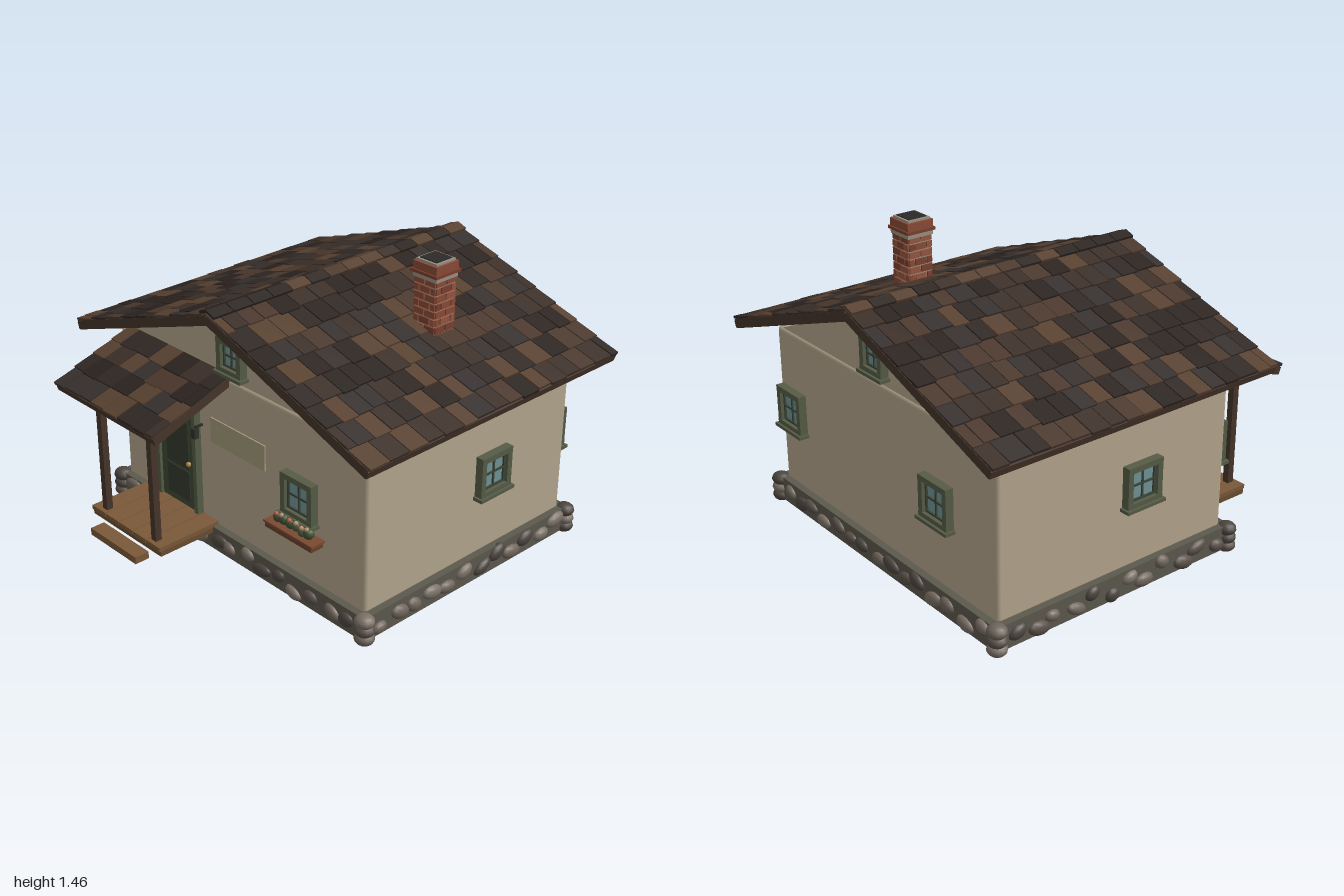
import * as THREE from 'three';
import { mergeGeometries } from 'three/addons/utils/BufferGeometryUtils.js';
import { RoundedBoxGeometry } from 'three/addons/geometries/RoundedBoxGeometry.js';

const ZC = -0.143; // middle of the house in z
const HW = 0.84, HD = 0.653; // half width and half depth of the walls
const SLOPE = Math.atan(0.35);
const SHINGLES = [0x3b2e27, 0x2f2723, 0x4a372c, 0x352f2d, 0x57402f, 0x2a221e];
const STONES = [0x6e645a, 0x5a5048, 0x7a7066, 0x4c453f];
const BRICKS = [0x8a4a35, 0x7a3f2e, 0x955540];
const FRAME = 0x555c46, WOOD = 0x7a5838, DARKWOOD = 0x46352a, WALL = 0xb3a58c;

let seed = 7;
const rnd = (a = 0, b = 1) => {
  seed = (seed * 16807) % 2147483647;
  return a + (b - a) * seed / 2147483647;
};
const pick = list => list[Math.floor(rnd() * list.length)];

const mats = {};
const mat = c => (mats[c] ??= new THREE.MeshStandardMaterial({ color: c }));

function add(parent, name, geo, color, x = 0, y = 0, z = 0) {
  const m = new THREE.Mesh(geo, mat(color));
  m.name = name;
  m.position.set(x, y, z);
  parent.add(m);
  return m;
}
const box = (parent, name, w, h, d, color, x, y, z) =>
  add(parent, name, new THREE.BoxGeometry(w, h, d), color, x, y, z);

function group(parent, name, x = 0, y = 0, z = 0, ry = 0) {
  const g = new THREE.Group();
  g.name = name;
  g.position.set(x, y, z);
  g.rotation.y = ry;
  parent.add(g);
  return g;
}

// Collects many small pieces and merges them into one mesh per colour
function batch(parent, name) {
  const byColor = {};
  return {
    put(geo, color, x, y, z, rz = 0) {
      (byColor[color] ??= []).push(geo.rotateZ(rz).translate(x, y, z));
    },
    done() {
      for (const c in byColor) add(parent, name, mergeGeometries(byColor[c]), +c);
    },
  };
}

// Roof plane: runs down along local +x, its width lies along z
function roofPlane(parent, name, length, width, courses, columns) {
  const g = group(parent, name);
  g.rotation.z = -SLOPE;
  box(g, 'roofDeck', length, 0.025, width - 0.02, 0x2e251f, length / 2, -0.014, 0);
  for (const s of [-1, 1])
    box(g, 'bargeBoard', length, 0.045, 0.014, DARKWOOD, length / 2, -0.012, s * (width / 2 - 0.007));
  box(g, 'eaveBoard', 0.014, 0.035, width, DARKWOOD, length, -0.014, 0);
  const b = batch(g, 'shingles'), pitch = length / courses, step = width / columns;
  for (let i = 0; i < courses; i++) {
    let z = -width / 2;
    for (let first = true; z < width / 2 - 0.001; first = false) {
      let w = first && i % 2 ? step / 2 : step * rnd(0.8, 1.2);
      if (width / 2 - z - w < step * 0.4) w = width / 2 - z;
      const l = pitch * 1.15, x = (i + 1) * pitch - l / 2 + rnd(0.002, 0.016);
      b.put(new THREE.BoxGeometry(l, 0.013, w - 0.005), pick(SHINGLES), x, 0.011 + rnd(0, 0.003), z + w / 2, 0.06);
      z += w;
    }
  }
  b.done();
}

// Window facing +z, centred on its own origin on the wall face
function makeWindow(parent, name, x, y, z, ry, w = 0.2, h = 0.205) {
  const g = group(parent, name, x, y, z, ry), t = 0.028;
  box(g, 'glass', w - t, h - t, 0.02, 0x6f9396, 0, 0, 0.004);
  for (const s of [-1, 1]) {
    box(g, 'frameSide', t, h, 0.05, FRAME, s * (w - t) / 2, 0, 0.015);
    box(g, 'frameRail', w, t, 0.052, FRAME, 0, s * (h - t) / 2, 0.015);
    box(g, 'sashSide', 0.01, h - 2 * t, 0.03, 0x3c4438, s * (w / 2 - t - 0.004), 0, 0.008);
    box(g, 'sashRail', w - 2 * t, 0.01, 0.03, 0x3c4438, 0, s * (h / 2 - t - 0.004), 0.008);
  }
  box(g, 'verticalBar', 0.009, h - t, 0.026, 0x3c4438, 0, 0, 0.008);
  box(g, 'crossBar', w - t, 0.009, 0.026, 0x3c4438, 0, 0, 0.008);
  box(g, 'sill', w + 0.022, 0.016, 0.066, FRAME, 0, -h / 2 - 0.002, 0.02);
}

function makeFoundation(root) {
  const g = group(root, 'foundation', 0, 0, ZC), X = HW + 0.035, Z = HD + 0.035;
  box(g, 'footing', 2 * X, 0.12, 2 * Z, 0x5c584d, 0, 0.08, 0);
  const b = batch(g, 'stones');
  const stone = (x, y, z, rx, ry, rz, tilt) =>
    b.put(new THREE.SphereGeometry(1, 12, 8).scale(rx, ry, rz).rotateZ(rx > rz ? tilt : 0).rotateX(rx > rz ? 0 : tilt),
      pick(STONES), x, y, z);
  for (const s of [-1, 1]) {
    for (const [half, along] of [[X, true], [Z, false]]) {
      const n = Math.round(2 * half / 0.108);
      for (let i = 1; i < n; i++) {
        const p = -half + 2 * half * i / n + rnd(-0.02, 0.02);
        const y = 0.08 + (i % 2 ? 1 : -1) * rnd(0, 0.03);
        const r = rnd(0.038, 0.062), ry = rnd(0.028, 0.036), tilt = rnd(-0.5, 0.5);
        if (along) stone(p, y, s * Z, r, ry, 0.026, tilt);
        else stone(s * X, y, p, 0.026, ry, r, tilt);
      }
    }
    // Piled corner stones
    for (const t of [-1, 1])
      for (const y of [0.034, 0.076, 0.12])
        stone(s * (X - 0.012), y, t * (Z - 0.012), 0.048, 0.033, 0.046, 0);
  }
  b.done();
}

function makeWalls(root) {
  add(root, 'walls', new RoundedBoxGeometry(2 * HW, 0.81, 2 * HD, 3, 0.02), WALL, 0, 0.53, ZC);
  const tri = new THREE.Shape([[-0.82, 0.925], [0.82, 0.925], [0, 1.268]].map(p => new THREE.Vector2(...p)));
  const depth = 2 * HD - 0.02;
  add(root, 'gable', new THREE.ExtrudeGeometry(tri, { depth, bevelEnabled: false }), WALL, 0, 0, ZC - depth / 2);
  // The same windows repeat on the opposite faces, turned half round
  for (const [turn, title] of [[0, 'front'], [Math.PI, 'back']]) {
    const g = group(root, title + 'Windows', 0, 0, ZC, turn);
    makeWindow(g, 'cornerWindow', -0.715, 0.545, HD, 0);
    makeWindow(g, 'mainWindow', 0.445, 0.545, HD, 0);
    makeWindow(g, 'atticWindow', 0, 1.062, HD - 0.01, 0, 0.163, 0.17);
    makeWindow(g, 'sideWindow', HW, 0.54, -0.13, Math.PI / 2);
  }
  box(root, 'plainBoard', 0.375, 0.128, 0.012, 0xa39a78, 0.02, 0.637, 0.511);
}

function makeRoof(root) {
  const g = group(root, 'mainRoof', 0, 1.29, ZC);
  for (const ry of [0, Math.PI]) roofPlane(group(g, 'roofHalf', 0, 0, 0, ry), 'roofPlane', 1.04, 1.59, 8, 16);
  // Ridge caps bent over both slopes
  const b = batch(g, 'ridgeCaps');
  for (let i = 0; i < 14; i++) {
    const c = pick(SHINGLES), z = -0.795 + 1.59 * (i + 0.5) / 14;
    for (const s of [-1, 1])
      b.put(new THREE.BoxGeometry(0.055, 0.012, 0.108), c, s * 0.023, 0.02, z, -s * SLOPE);
  }
  b.done();
}

function makeChimney(root) {
  const g = group(root, 'chimney', 0.475, 0, -0.26), b = batch(g, 'bricks'), W = 0.13;
  box(g, 'mortarCore', W - 0.008, 0.36, W - 0.008, 0x9a9082, 0, 1.22, 0);
  for (let row = 0; row < 9; row++) {
    const cuts = row % 2 ? [0, 0.25, 0.75, 1] : [0, 0.5, 1];
    for (let side = 0; side < 4; side++)
      for (let i = 1; i < cuts.length; i++) {
        const w = (cuts[i] - cuts[i - 1]) * W - 0.007, x = ((cuts[i] + cuts[i - 1]) / 2 - 0.5) * W;
        const brick = new THREE.BoxGeometry(w, 0.03, 0.02).translate(x, 0, W / 2 - 0.007).rotateY(side * Math.PI / 2);
        b.put(brick, pick(BRICKS), 0, 1.068 + row * 0.037, 0);
      }
  }
  b.done();
  box(g, 'mortarBand', 0.14, 0.025, 0.14, 0x9a9082, 0, 1.385, 0);
  box(g, 'lowerCap', 0.158, 0.014, 0.158, BRICKS[1], 0, 1.402, 0);
  box(g, 'upperCap', 0.142, 0.038, 0.142, BRICKS[0], 0, 1.428, 0);
  box(g, 'rim', 0.122, 0.014, 0.122, 0x9a9082, 0, 1.45, 0);
  box(g, 'flue', 0.1, 0.014, 0.1, 0x2c2a28, 0, 1.454, 0);
}

function makePorch(root) {
  const g = group(root, 'porch', -0.403, 0, 0);
  for (let i = 0; i < 5; i++)
    box(g, 'floorPlank', 0.102, 0.022, 0.355, WOOD, (i - 2) * 0.106, 0.145, 0.682);
  box(g, 'floorFrame', 0.525, 0.028, 0.345, 0x6a4c30, 0, 0.122, 0.68);
  box(g, 'step', 0.35, 0.036, 0.076, WOOD, 0, 0.08, 0.897);
  for (const s of [-1, 1]) {
    box(g, 'post', 0.034, 0.66, 0.034, DARKWOOD, s * 0.19, 0.48, 0.82);
    const brace = box(g, 'brace', 0.085, 0.014, 0.016, DARKWOOD, s * 0.155, 0.75, 0.82);
    brace.rotation.z = -s * 0.85;
  }
  box(g, 'beam', 0.6, 0.028, 0.034, DARKWOOD, 0, 0.797, 0.82);
  roofPlane(group(g, 'porchRoof', 0, 0.942, 0.495, -Math.PI / 2), 'porchRoofPlane', 0.46, 0.738, 4, 7);

  // Door with two panels, knob and lamp
  const d = group(g, 'door', 0, 0, 0.51);
  box(d, 'doorSlab', 0.26, 0.53, 0.03, 0x414836, 0, 0.42, 0.005);
  for (const s of [-1, 1]) box(d, 'jamb', 0.025, 0.545, 0.055, FRAME, s * 0.14, 0.428, 0.008);
  box(d, 'lintel', 0.305, 0.025, 0.057, FRAME, 0, 0.688, 0.008);
  box(d, 'upperPanel', 0.165, 0.25, 0.008, 0x343a2d, 0, 0.49, 0.02);
  box(d, 'lowerPanel', 0.165, 0.16, 0.008, 0x343a2d, 0, 0.27, 0.02);
  add(d, 'knob', new THREE.SphereGeometry(0.013, 12, 8), 0xa8843c, 0.095, 0.405, 0.035);
  box(d, 'lampArm', 0.01, 0.01, 0.045, 0x2a2a28, 0.168, 0.635, 0.02);
  box(d, 'lamp', 0.026, 0.05, 0.026, 0x2e302c, 0.168, 0.605, 0.045);
}

function makeFlowerBox(root) {
  const g = group(root, 'flowerBox', 0.447, 0, 0.562), b = batch(g, 'flowers');
  box(g, 'planter', 0.3, 0.03, 0.07, 0x6b3f2a, 0, 0.38, 0);
  box(g, 'planterRim', 0.315, 0.01, 0.078, 0x7a4a32, 0, 0.394, 0);
  for (let i = 0; i < 6; i++) {
    const x = (i - 2.5) * 0.04, y = rnd(0.418, 0.428);
    b.put(new THREE.SphereGeometry(0.026, 10, 8), pick([0x4a5a38, 0x3e4f32]), x, y, rnd(-0.01, 0.01));
    b.put(new THREE.SphereGeometry(0.011, 8, 6), pick([0xb5604f, 0xc08a70]), x + rnd(-0.01, 0.01), y + 0.022, 0.012);
  }
  b.done();
}

export function createModel() {
  seed = 7;
  const root = new THREE.Group();
  root.name = 'cottage';
  for (const make of [makeFoundation, makeWalls, makeRoof, makeChimney, makePorch, makeFlowerBox]) make(root);
  return root;
}
